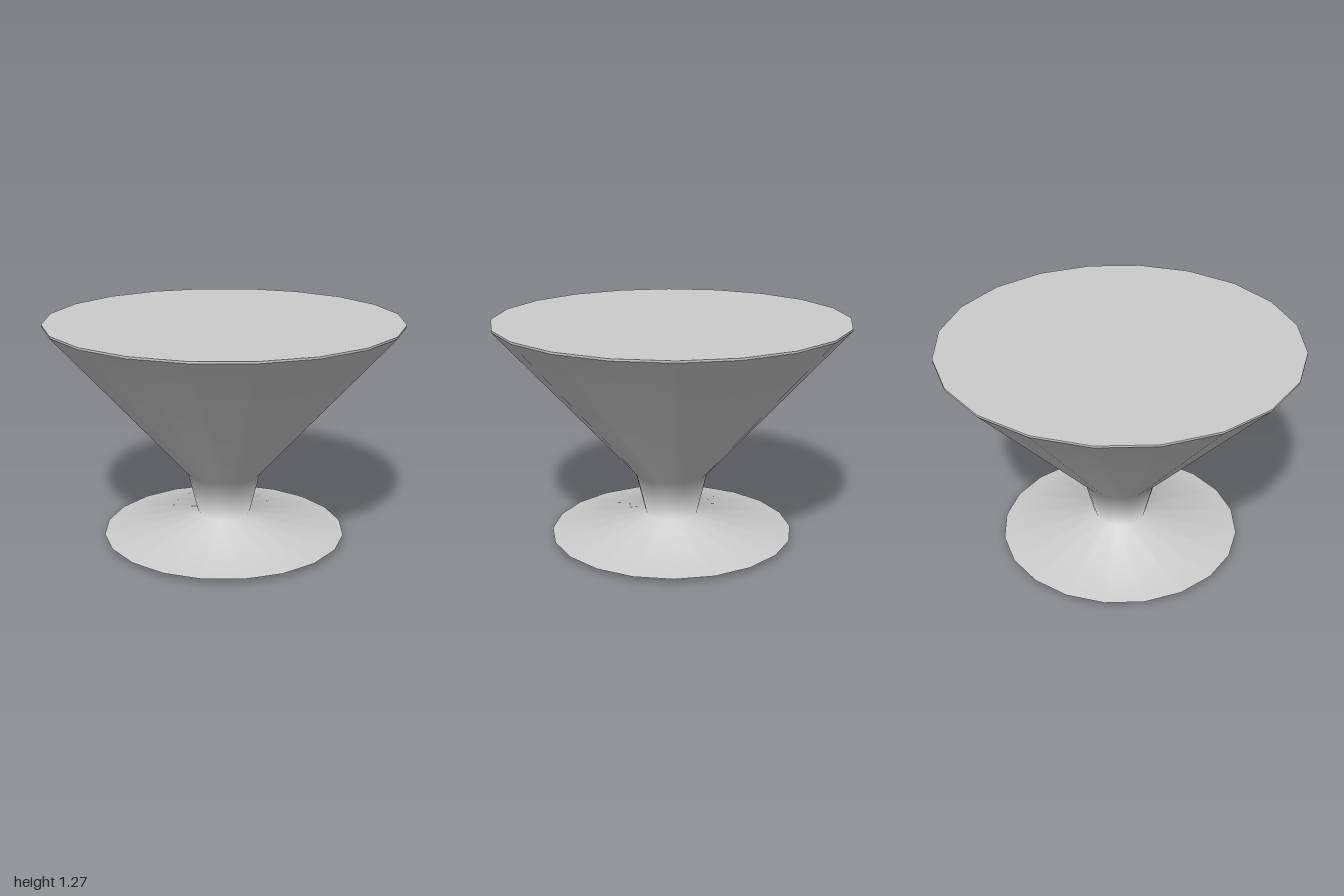
import * as THREE from 'three';

const SIDES = 20;

// Turned part from [radius, height] pairs, listed bottom to top on the outside
function turned(name, profile) {
  const points = profile.map(([r, y]) => new THREE.Vector2(r, y));
  const material = new THREE.MeshStandardMaterial({ color: 0xcccccc });
  const mesh = new THREE.Mesh(new THREE.LatheGeometry(points, SIDES), material);
  mesh.name = name;
  return mesh;
}

export function createModel() {
  const group = new THREE.Group();
  group.name = 'pedestalBowl';

  group.add(
    // Very shallow cone under the foot
    turned('footUnderside', [[0, 0], [0.7, 0.025]]),
    // Foot, stem and flared bowl share one smooth skin
    turned('bowlStemAndFoot', [[0.7, 0.025], [0.15, 0.13], [0.21, 0.375], [1, 1.262]]),
    // Thin band around the rim
    turned('rim', [[1, 1.262], [1, 1.273]]),
    // Flat closed top
    turned('topSurface', [[1, 1.273], [0, 1.273]]),
  );

  return group;
}
